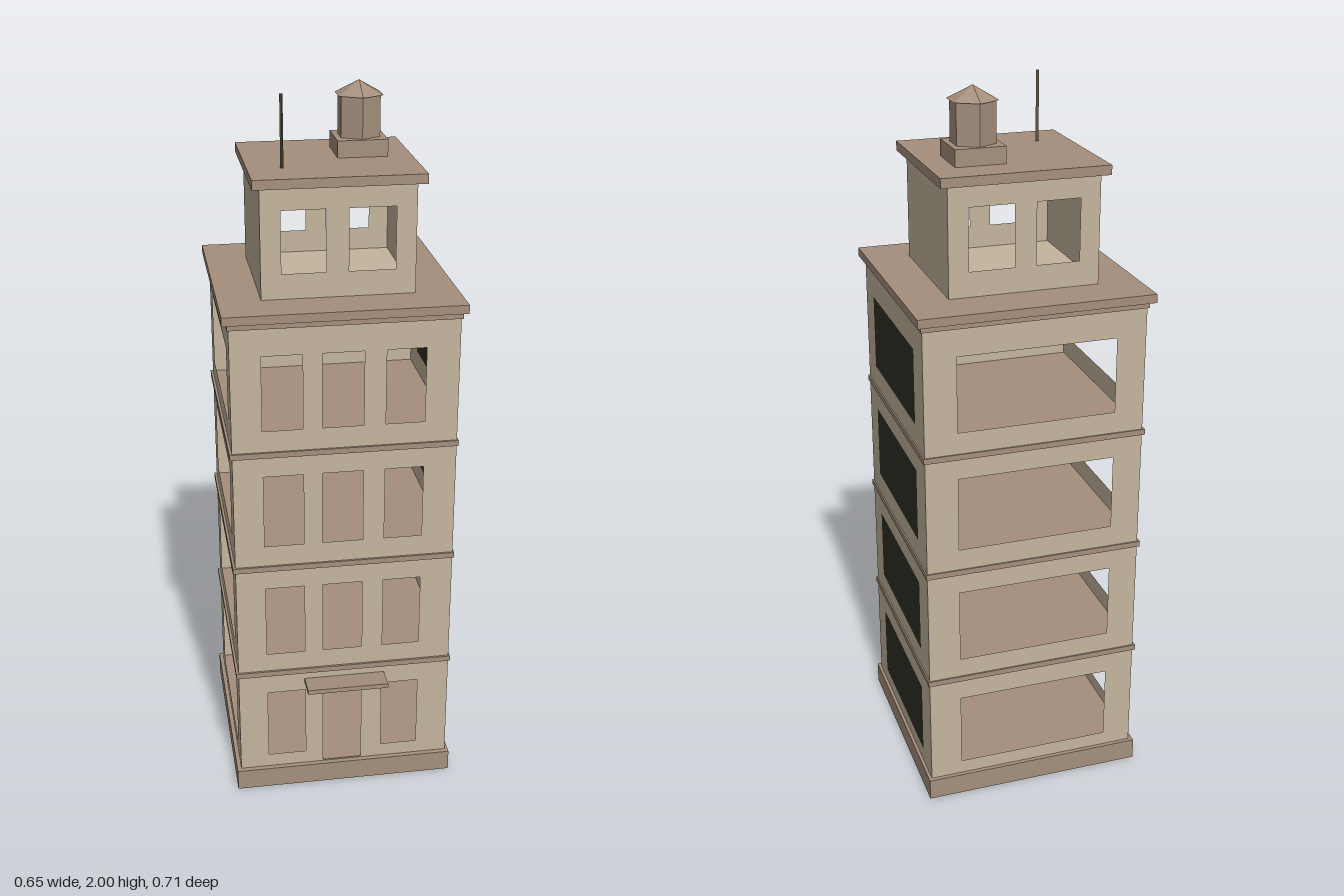
import * as THREE from 'three';

const wallMat = new THREE.MeshStandardMaterial({ name: 'sandstone', color: 0xc4b59d, side: THREE.DoubleSide });
const trimMat = new THREE.MeshStandardMaterial({ name: 'brownTrim', color: 0xa58f7d, flatShading: true });
const glassMat = new THREE.MeshStandardMaterial({ name: 'darkGlass', color: 0x2f3024, side: THREE.DoubleSide });
const metalMat = new THREE.MeshStandardMaterial({ name: 'darkMetal', color: 0x5f5345, flatShading: true });

// Box given by its limits on each axis
function box(name, [x0, x1], [y0, y1], [z0, z1], mat = trimMat) {
  const m = new THREE.Mesh(new THREE.BoxGeometry(x1 - x0, y1 - y0, z1 - z0), mat);
  m.name = name;
  m.position.set((x0 + x1) / 2, (y0 + y1) / 2, (z0 + z1) / 2);
  return m;
}

// Rectangle drawn as a closed outline
function rect(Type, [u0, u1, v0, v1]) {
  const p = [[u0, v0], [u1, v0], [u1, v1], [u0, v1]].map(([u, v]) => new THREE.Vector2(u, v));
  return new Type(p);
}

// Thin upright wall facing +z, with rectangular openings
function wall(name, area, openings, mat = wallMat) {
  const shape = rect(THREE.Shape, area);
  openings.forEach((o) => shape.holes.push(rect(THREE.Path, o)));
  const m = new THREE.Mesh(new THREE.ShapeGeometry(shape), mat);
  m.name = name;
  return m;
}

// Turn a wall to face sideways: local u becomes -z, facing +x
function sideways(mesh, x) {
  mesh.rotation.y = Math.PI / 2;
  mesh.position.x = x;
  return mesh;
}

function addStorey(group, y0, y1, sill, head, hasDoor) {
  const X = 0.308, zFront = 0.28, zBack = -0.333;
  const windows = [[-0.225, -0.115], [-0.063, 0.05], [0.11, 0.217]];
  const area = [-X, X, y0, y1];
  const holes = windows.map(([a, b], i) => [a, b, hasDoor && i === 1 ? y0 + 0.004 : sill, head]);

  const front = wall('frontWall', area, holes);
  front.position.z = zFront;
  const back = wall('backWall', area, [[-0.225, 0.217, sill, head]]);
  back.position.z = zBack;

  // Wide side openings, glazed on the left side only
  const sideArea = [-zFront, -zBack, y0, y1];
  const opening = [-0.195, 0.243, sill, head];
  group.add(front, back,
    sideways(wall('leftWall', sideArea, [opening]), X),
    sideways(wall('rightWall', sideArea, [opening]), -X),
    sideways(wall('sideGlass', opening, [], glassMat), X));
}

function createPenthouse() {
  const g = new THREE.Group();
  g.name = 'penthouse';
  const x0 = -0.21, x1 = 0.205, y0 = 1.481, y1 = 1.78, z0 = -0.225, z1 = 0.175;
  const holes = [[-0.155, -0.035, 1.55, 1.72], [0.025, 0.15, 1.55, 1.72]];
  for (const z of [z0, z1]) {
    const w = wall(z > 0 ? 'penthouseFront' : 'penthouseBack', [x0, x1, y0, y1], holes);
    w.position.z = z;
    g.add(w);
  }
  for (const x of [x0, x1]) g.add(sideways(wall('penthouseSide', [-z1, -z0, y0, y1], []), x));
  g.add(box('penthouseFloor', [x0, x1], [y0, y0 + 0.006], [z0, z1], wallMat));
  g.add(box('penthouseRoof', [-0.23, 0.229], [1.78, 1.806], [-0.248, 0.192]));
  return g;
}

function createRoofTurret() {
  const g = new THREE.Group();
  g.name = 'roofTurret';
  g.add(box('turretBase', [0.024, 0.162], [1.806, 1.852], [-0.152, -0.014]));
  const body = new THREE.Mesh(new THREE.CylinderGeometry(0.062, 0.062, 0.113, 6), trimMat);
  body.name = 'turretBody';
  body.position.set(0.093, 1.9085, -0.083);
  const cap = new THREE.Mesh(new THREE.ConeGeometry(0.07, 0.037, 6), trimMat);
  cap.name = 'turretCap';
  cap.position.set(0.093, 1.9815, -0.083);
  g.add(body, cap);
  return g;
}

export function createModel() {
  const model = new THREE.Group();
  model.name = 'tower';

  model.add(box('base', [-0.32, 0.317], [0, 0.062], [-0.345, 0.295]));

  // Four storeys separated by floor slabs
  const levels = [0.062, 0.387, 0.732, 1.08, 1.442];
  const sills = [0.103, 0.452, 0.802, 1.15];
  const heads = [0.32, 0.667, 1.015, 1.363];
  sills.forEach((sill, i) => {
    const storey = new THREE.Group();
    storey.name = 'storey' + (i + 1);
    addStorey(storey, levels[i], levels[i + 1], sill, heads[i], i === 0);
    if (i > 0) {
      storey.add(box('floorSlab', [-0.315, 0.312], [levels[i] - 0.007, levels[i] + 0.009], [-0.337, 0.286]));
    }
    model.add(storey);
  });

  // Sloping canopy over the entrance
  const canopy = box('canopy', [-0.117, 0.116], [0.349, 0.362], [0.282, 0.352]);
  canopy.rotation.x = -0.06;
  model.add(canopy);

  // Stepped main roof
  model.add(box('cornice', [-0.312, 0.312], [1.44, 1.457], [-0.339, 0.285]));
  model.add(box('mainRoof', [-0.326, 0.324], [1.457, 1.481], [-0.353, 0.297]));

  model.add(createPenthouse(), createRoofTurret());

  // Three-sided roof mast
  const mast = new THREE.Mesh(new THREE.CylinderGeometry(0.005, 0.005, 0.192, 3), metalMat);
  mast.name = 'mast';
  mast.position.set(-0.137, 1.902, 0.072);
  model.add(mast);

  return model;
}
